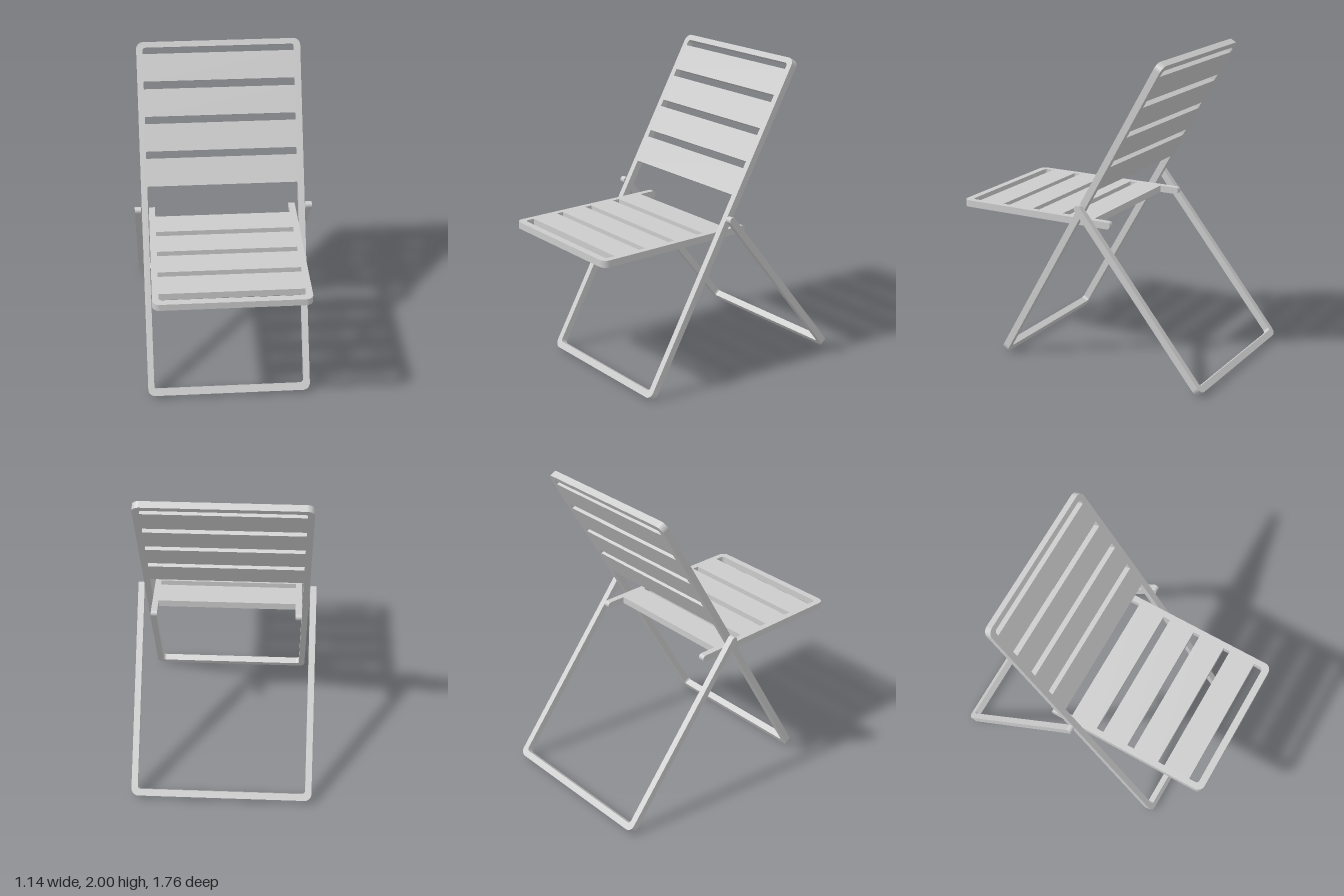
import * as THREE from 'three';

const T = 0.044; // thickness of every frame

// Rectangle whose lower and upper corners have radii r0 and r1.
function rect(path, hw, y0, y1, r0, r1) {
  path.moveTo(-hw + r0, y0);
  path.lineTo(hw - r0, y0);
  if (r0) path.absarc(hw - r0, y0 + r0, r0, -Math.PI / 2, 0, false);
  path.lineTo(hw, y1 - r1);
  if (r1) path.absarc(hw - r1, y1 - r1, r1, 0, Math.PI / 2, false);
  path.lineTo(-hw + r1, y1);
  if (r1) path.absarc(-hw + r1, y1 - r1, r1, Math.PI / 2, Math.PI, false);
  path.lineTo(-hw, y0 + r0);
  if (r0) path.absarc(-hw + r0, y0 + r0, r0, Math.PI, Math.PI * 1.5, false);
  path.closePath();
  return path;
}

// U shape: closed at y0, two arms of the given width ending at y1, notch floor at yn.
function uShape(hw, arm, y0, y1, yn, r, rn) {
  const s = new THREE.Shape(), hi = hw - arm;
  s.moveTo(-hw + r, y0);
  s.lineTo(hw - r, y0);
  s.absarc(hw - r, y0 + r, r, -Math.PI / 2, 0, false);
  s.lineTo(hw, y1);
  s.lineTo(hi, y1);
  s.lineTo(hi, yn + rn);
  if (rn) s.absarc(hi - rn, yn + rn, rn, 0, -Math.PI / 2, true);
  s.lineTo(-hi + rn, yn);
  if (rn) s.absarc(-hi + rn, yn + rn, rn, -Math.PI / 2, -Math.PI, true);
  s.lineTo(-hi, y1);
  s.lineTo(-hw, y1);
  s.lineTo(-hw, y0 + r);
  s.absarc(-hw + r, y0 + r, r, Math.PI, Math.PI * 1.5, false);
  return s;
}

export function createModel() {
  const model = new THREE.Group();
  model.name = 'foldingChair';
  const material = new THREE.MeshStandardMaterial({ color: 0xcccccc });

  const addMesh = (parent, name, geometry) => {
    const mesh = new THREE.Mesh(geometry, material);
    mesh.name = name;
    parent.add(mesh);
    return mesh;
  };

  // A flat frame cut from its outline, centred on its own thickness and tilted about x.
  const addFrame = (name, shape, y, z, tilt) => {
    const group = new THREE.Group();
    group.name = name;
    const geometry = new THREE.ExtrudeGeometry(shape, { depth: T, bevelEnabled: false, curveSegments: 6 });
    addMesh(group, name + 'Panel', geometry.translate(0, 0, -T / 2));
    group.position.set(0, y, z);
    group.rotation.x = tilt;
    model.add(group);
    return group;
  };

  // Half-round tips closing the two arms of a U frame.
  const addTips = (group, hw, arm, y) => {
    for (const side of [-1, 1]) {
      const tip = new THREE.CylinderGeometry(T / 2, T / 2, arm, 16).rotateZ(Math.PI / 2);
      addMesh(group, 'roundedTip', tip).position.set(side * (hw - arm / 2), y, 0);
    }
  };

  // Back and front legs: one long loop with a slatted upper panel
  const back = rect(new THREE.Shape(), 0.525, -1.138, 1.138, 0.045, 0.045);
  const backSlots = [
    [-1.095, 0.217, 0.02, 0], // open part between the front legs
    [0.395, 0.441, 0, 0],
    [0.617, 0.663, 0, 0],
    [0.839, 0.887, 0, 0],
    [1.062, 1.102, 0, 0.02],
  ];
  for (const slot of backSlots) back.holes.push(rect(new THREE.Path(), 0.485, ...slot));
  addFrame('backAndFrontLegs', back, 1, 0, -0.518);

  // Seat: slatted panel with two short arms reaching behind the back frame
  const seat = uShape(0.48, 0.04, -0.88, 0.183, 0.075, 0.045, 0);
  const seatSlots = [
    [-0.835, -0.773, 0.02, 0],
    [-0.596, -0.55, 0, 0],
    [-0.375, -0.328, 0, 0],
    [-0.153, -0.105, 0, 0],
  ];
  for (const slot of seatSlots) seat.holes.push(rect(new THREE.Path(), 0.44, ...slot));
  const seatGroup = addFrame('seat', seat, 0.956, 0, -Math.PI / 2);
  addTips(seatGroup, 0.48, 0.04, 0.183);

  // Rear legs: U frame hinged outside the back frame
  const rear = uShape(0.57, 0.04, -1.34, 0, -1.298, 0.045, 0.02);
  const rearGroup = addFrame('rearLegs', rear, 1.062, -0.027, 0.677);
  addTips(rearGroup, 0.57, 0.04, 0);

  return model;
}
